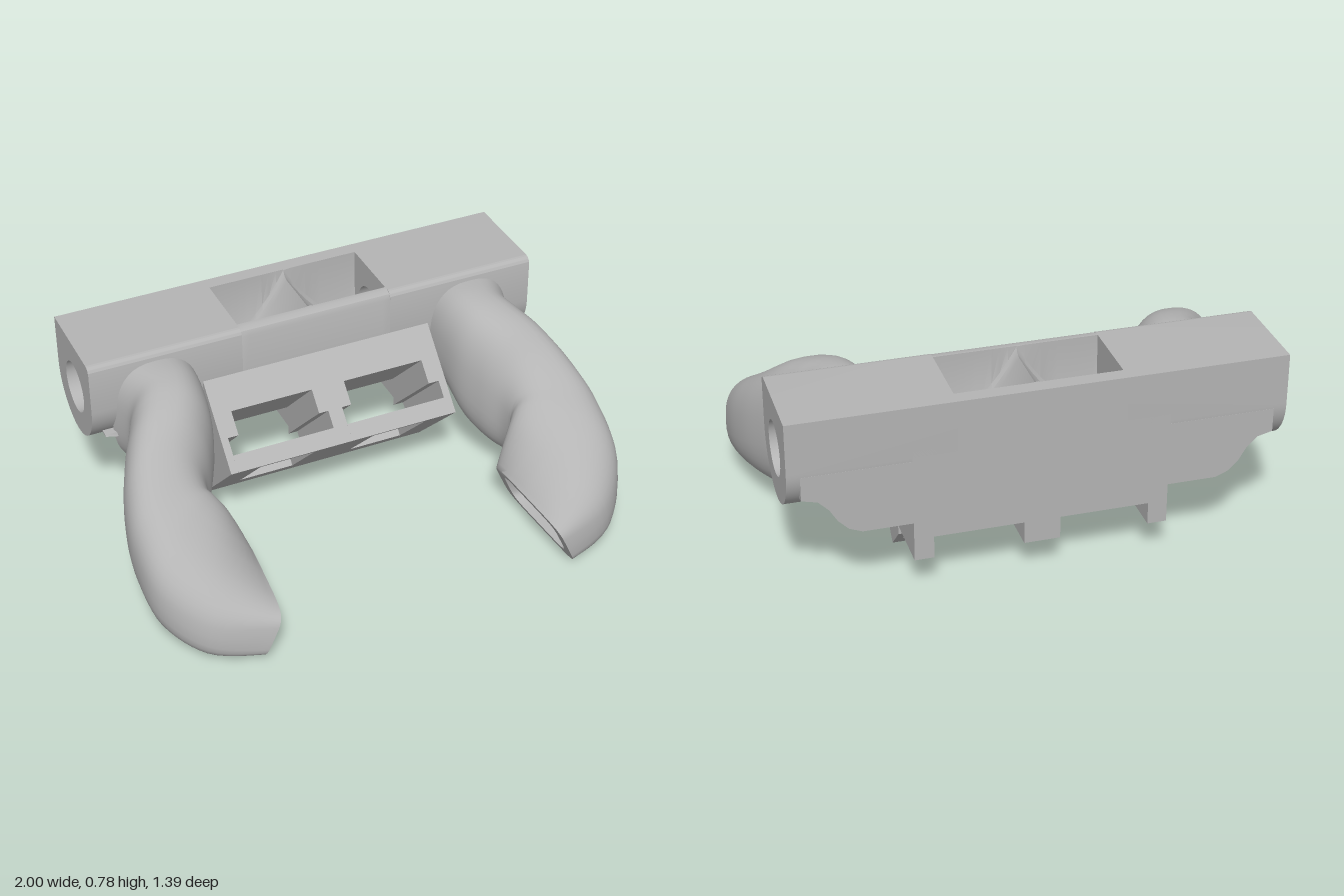
import * as THREE from 'three';
import { toCreasedNormals } from 'three/addons/utils/BufferGeometryUtils.js';

const grey = new THREE.MeshStandardMaterial({ color: 0xb4b4b4 });
grey.name = 'plain grey';

function part(name, geometry, parent, crease = 0.6) {
  const mesh = new THREE.Mesh(toCreasedNormals(geometry, crease), grey);
  mesh.name = name;
  parent.add(mesh);
  return mesh;
}

// Extrudes a side profile, drawn in (-z, y), from x0 to x1
function extrudeX(shape, x0, x1) {
  const g = new THREE.ExtrudeGeometry(shape, { depth: x1 - x0, bevelEnabled: false, curveSegments: 24 });
  g.rotateY(Math.PI / 2);
  g.translate(x0, 0, 0);
  return g;
}
const outline = (pts) => new THREE.Shape(pts.map(([z, y]) => new THREE.Vector2(-z, y)));

// Skins a row of closed loops; turns the faces outward by the sign of the volume
function loft(loops, capped) {
  const n = loops[0].length, m = loops.length, pos = [], side = [], caps = [];
  loops.forEach((l) => l.forEach((p) => pos.push(p.x, p.y, p.z)));
  for (let i = 0; i < m - 1; i++) {
    for (let j = 0; j < n; j++) {
      const k = (j + 1) % n, a = i * n + j, b = i * n + k, c = a + n, d = b + n;
      side.push(a, b, d, a, d, c);
    }
  }
  [0, m - 1].forEach((i, e) => {
    const c = new THREE.Vector3();
    loops[i].forEach((p) => c.addScaledVector(p, 1 / n));
    pos.push(c.x, c.y, c.z);
    for (let j = 0; j < n; j++) {
      const a = i * n + j, b = i * n + (j + 1) % n;
      caps.push(m * n + e, ...(e ? [a, b] : [b, a]));
    }
  });
  const at = (i) => new THREE.Vector3().fromArray(pos, i * 3);
  const all = side.concat(caps);
  let volume = 0;
  for (let i = 0; i < all.length; i += 3) volume += at(all[i]).dot(at(all[i + 1]).cross(at(all[i + 2])));
  const index = capped ? all : side;
  if (volume < 0) for (let i = 0; i < index.length; i += 3) [index[i], index[i + 1]] = [index[i + 1], index[i]];
  const g = new THREE.BufferGeometry();
  g.setAttribute('position', new THREE.Float32BufferAttribute(pos, 3));
  g.setIndex(index);
  return g;
}

// Smooth interpolation between rows of numbers
function blend(rows, t) {
  const last = rows.length - 1, i = Math.min(Math.floor(t), last - 1), f = t - i;
  const row = (k) => rows[Math.max(0, Math.min(last, k))];
  return rows[0].map((_, c) => {
    const a = row(i - 1)[c], b = row(i)[c], d = row(i + 1)[c], e = row(i + 2)[c];
    return b + 0.5 * f * (d - a + f * (2 * a - 5 * b + 4 * d - e + f * (3 * (b - d) + e - a)));
  });
}

// Arm stations: inner x, z, outer x, z, top y, bottom y, outer tilt, lean, squareness
const ARM = [
  [0.50, -0.33, 0.86, -0.33, 0.745, 0.27, 0, 0, 0.75],
  [0.51, -0.22, 0.83, -0.22, 0.742, 0.262, 0, 0, 0.8],
  [0.53, -0.10, 0.865, -0.14, 0.722, 0.17, 0, 0, 0.8],
  [0.58, 0.00, 0.92, -0.04, 0.675, 0.11, 0, 0, 0.8],
  [0.63, 0.08, 0.975, 0.10, 0.585, 0.095, 0, 0, 0.8],
  [0.64, 0.14, 1.0, 0.26, 0.51, 0.085, -0.02, 0, 0.78],
  [0.63, 0.17, 0.975, 0.45, 0.445, 0.07, -0.06, -0.05, 0.75],
  [0.61, 0.19, 0.84, 0.61, 0.35, 0.045, -0.07, -0.2, 0.68],
  [0.58, 0.21, 0.62, 0.69, 0.21, 0.015, -0.01, -0.45, 0.4],
];
function armLoop([xi, zi, xo, zo, top, bottom, tilt, lean, e], scale = 1, dx = 0, dy = 0) {
  const loop = [], n = 40;
  for (let j = 0; j < n; j++) {
    const a = (j / n) * Math.PI * 2;
    const c = Math.sign(Math.cos(a)) * Math.abs(Math.cos(a)) ** e * scale;
    const s = Math.sign(Math.sin(a)) * Math.abs(Math.sin(a)) ** e * scale;
    const h = s * (top - bottom) / 2;
    loop.push(new THREE.Vector3(
      (xi + xo) / 2 + c * (xo - xi) / 2 + h * lean + dx,
      (top + bottom) / 2 + h + c * tilt + dy,
      (zi + zo) / 2 + c * (zo - zi) / 2));
  }
  return loop;
}
function armGeometry() {
  const loops = [], steps = 48, end = ARM[ARM.length - 1];
  for (let i = 0; i <= steps; i++) loops.push(armLoop(blend(ARM, (i / steps) * (ARM.length - 1))));
  // Flat rim and the slot sunk into it
  loops.push(armLoop(end, 0.78), armLoop(end, 0.6, 0.1, 0.03), armLoop(end, 0.45, 0.17, 0.06));
  return loft(loops, true);
}

// Bar end with its rounded lug and round tunnel
function barEndShape() {
  const s = new THREE.Shape();
  s.moveTo(0.3, 0.575);
  s.absarc(0.5, 0.575, 0.2, Math.PI, Math.PI * 2, false);
  s.lineTo(0.7, 0.78);
  s.lineTo(0.33, 0.78);
  s.absarc(0.33, 0.75, 0.03, Math.PI / 2, Math.PI, false);
  s.holes.push(new THREE.Path().absarc(0.495, 0.577, 0.105, 0, Math.PI * 2, true));
  return s;
}

// Bar middle, with a pocket whose floor climbs to a ridge at x = 0
function barMiddleGeometry() {
  const loops = [];
  for (let i = 0; i <= 20; i++) {
    const x = -0.32 + i * 0.032, f = 0.47 + 0.28 * (1 - Math.abs(x) / 0.32) ** 2;
    loops.push([[-0.3, 0.45], [-0.3, 0.75], [-0.309, 0.771], [-0.33, 0.78], [-0.35, 0.78], [-0.355, f + 0.03],
      [-0.365, f + 0.01], [-0.39, f], [-0.6, f], [-0.625, f + 0.01], [-0.635, f + 0.03], [-0.64, 0.78],
      [-0.7, 0.78], [-0.7, 0.45]].map(([z, y]) => new THREE.Vector3(x, y, z)));
  }
  return loft(loops, false);
}

// Fills the space under the bar, shared by all socket slices
const UNDER_BAR = [[-0.3, 0.59], [-0.33, 0.59], [-0.33, 0.45], [-0.65, 0.45], [-0.66, 0.6], [-0.7, 0.6]];
const REAR = [[-0.7, 0.14], [-0.45, 0.14], [-0.45, 0.1]];
const SOLID = [[-0.35, 0], [-0.03, 0.32], ...UNDER_BAR, ...REAR];
const FLANGE = [[-0.13, 0.42], ...UNDER_BAR, ...REAR];
const CEILING = [[-0.2, 0.49], ...UNDER_BAR, [-0.7, 0.23], [-0.46, 0.23]];
// Strip of the slanted front lip between s0 and s1 along the slope
const lip = (s0, s1) => [[s0, 0], [s1, 0], [s1, 0.07], [s0, 0.07]]
  .map(([s, d]) => [-0.35 + (s - d) * Math.SQRT1_2, (s + d) * Math.SQRT1_2]);
const LIP = lip(0, 0.453);

export function createModel() {
  const model = new THREE.Group();
  model.name = 'socketHolder';

  part('barMiddle', barMiddleGeometry(), model);
  part('socketCentre', extrudeX(outline(SOLID), -0.03, 0.03), model);

  for (const sign of [1, -1]) {
    const half = new THREE.Group();
    half.name = sign > 0 ? 'leftHalf' : 'rightHalf';
    half.scale.x = sign;
    model.add(half);

    part('barEnd', extrudeX(barEndShape(), 0.32, 0.95), half);
    part('arm', armGeometry(), half, 0.8);

    // Slanted socket, sliced across x
    const slices = [
      [0.03, 0.07, FLANGE, LIP],
      [0.07, 0.13, CEILING, LIP],
      [0.13, 0.36, CEILING, lip(0, 0.11), lip(0.43, 0.453)],
      [0.36, 0.415, CEILING, LIP],
      [0.415, 0.46, FLANGE, LIP],
      [0.46, 0.49, SOLID],
    ];
    for (const [x0, x1, ...profiles] of slices) {
      for (const p of profiles) part('socketSlice', extrudeX(outline(p), x0, x1), half);
    }

    // Shoulder block behind the arm, its underside curving up to the lug
    const loops = [[0.49, 0.28], [0.68, 0.28], [0.73, 0.3], [0.77, 0.34], [0.8, 0.39], [0.84, 0.43], [0.9, 0.445]]
      .map(([x, b]) => [[-0.305, b], [-0.31, 0.45], [-0.65, 0.45], [-0.66, 0.56], [-0.7, 0.56], [-0.7, b + 0.02], [-0.6, b]]
        .map(([z, y]) => new THREE.Vector3(x, y, z)));
    part('shoulderBlock', loft(loops, true), half);
  }
  return model;
}
